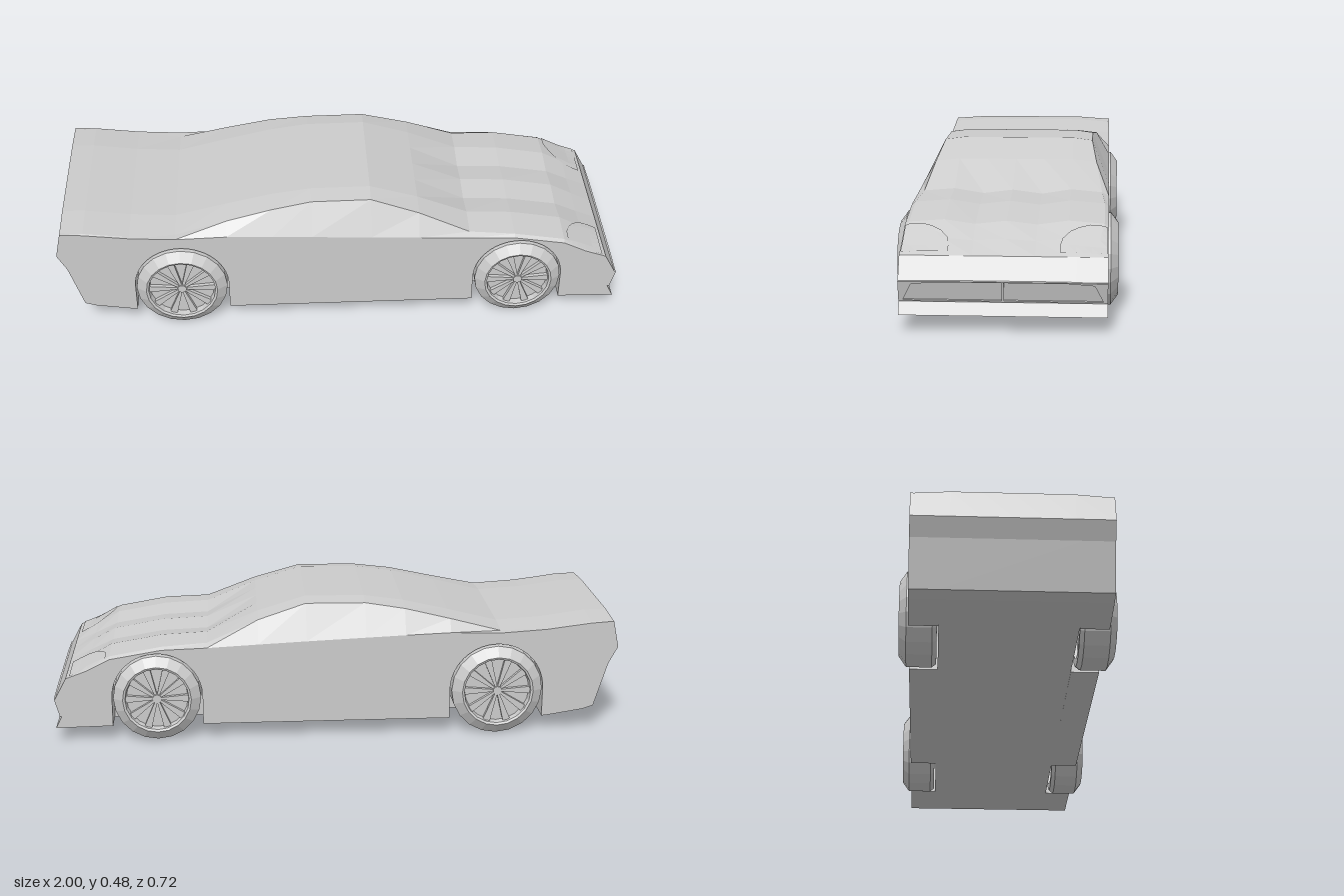
import * as THREE from 'three';

const mat = new THREE.MeshStandardMaterial({ color: 0xcccccc, flatShading: true, side: THREE.DoubleSide });
const HALF = 0.328, INNER = 0.23;

// Body stations, rear to nose: x, crown height, roof edge z, belt height, bonnet groove depth
const STATIONS = [
  [-0.98, 0.413, 0.315, 0.405, 0],
  [-0.9, 0.412, 0.322, 0.4, 0],
  [-0.74, 0.39, 0.32, 0.38, 0],
  [-0.58, 0.38, 0.3, 0.37, 0],
  [-0.4, 0.425, 0.29, 0.375, 0],
  [-0.24, 0.462, 0.28, 0.369, 0],
  [-0.1, 0.482, 0.267, 0.363, 0],
  [0.11, 0.484, 0.267, 0.354, 0],
  [0.28, 0.432, 0.284, 0.346, 0],
  [0.46, 0.358, 0.305, 0.337, 0.016],
  [0.62, 0.35, 0.315, 0.332, 0.015],
  [0.8, 0.319, 0.315, 0.302, 0.014],
  [0.88, 0.276, 0.315, 0.262, 0.008],
  [0.955, 0.236, 0.315, 0.235, 0],
];
const WHEELS = [
  { name: 'rear', x: -0.567, y: 0.162, r: 0.162, rim: 0.123 },
  { name: 'front', x: 0.638, y: 0.16, r: 0.154, rim: 0.116 },
];

// Half cross-section from the centreline out to the belt, as [z, y]
const section = ([, top, edge, belt, dip]) => [
  [0, top - dip * 0.2], [0.1, top - dip], [0.2, top],
  [edge, Math.max(belt, top - 0.009)], [HALF, belt],
];

// Height of the upper shell at any point
function surfaceY(x, z) {
  const i = Math.max(1, STATIONS.findIndex((s) => s[0] >= x));
  const a = STATIONS[i - 1], b = STATIONS[i];
  const t = (x - a[0]) / (b[0] - a[0]);
  const pts = section(a.map((v, k) => v + (b[k] - v) * t));
  const k = Math.max(1, pts.findIndex((p) => p[0] >= Math.abs(z)));
  const [p, q] = [pts[k - 1], pts[k]];
  return p[1] + (q[1] - p[1]) * (Math.abs(z) - p[0]) / (q[0] - p[0]);
}

// Surface through equal-length rows of [x, y, z]
function loft(rows) {
  const n = rows[0].length, index = [];
  for (let i = 0; i < rows.length - 1; i++) {
    for (let j = 0; j < n - 1; j++) {
      const a = i * n + j, b = a + n;
      index.push(a, a + 1, b, a + 1, b + 1, b);
    }
  }
  const g = new THREE.BufferGeometry();
  g.setAttribute('position', new THREE.Float32BufferAttribute(rows.flat(2), 3));
  g.setIndex(index);
  g.computeVertexNormals();
  return g;
}

function add(parent, name, geometry) {
  const m = new THREE.Mesh(geometry, mat);
  m.name = name;
  parent.add(m);
  return m;
}

// Side outline below the belt, with or without wheel arches
function sideShape(arches) {
  const s = new THREE.Shape();
  s.moveTo(-1, 0.31);
  [[-0.968, 0.25], [-0.92, 0.09], [-0.88, 0.077], [-0.76, 0.058]].forEach((p) => s.lineTo(...p));
  if (arches) {
    for (const w of WHEELS) {
      const r = w.r + 0.005;
      s.lineTo(w.x - r, 0.055);
      s.lineTo(w.x - r, w.y);
      s.absarc(w.x, w.y, r, Math.PI, 0, true);
      s.lineTo(w.x + r, 0.055);
    }
  }
  [[0.997, 0.052], [0.975, 0.095], [0.994, 0.163]].forEach((p) => s.lineTo(...p));
  [...STATIONS].reverse().forEach((p) => s.lineTo(p[0], p[3]));
  s.closePath();
  return s;
}

function extrude(shape, depth, z = 0) {
  const g = new THREE.ExtrudeGeometry(shape, { depth, bevelEnabled: false, curveSegments: 14 });
  return g.translate(0, 0, z);
}

// Wheel with its outer face towards +z, the axle at the origin
function makeWheel({ r, rim }, name) {
  const wheel = new THREE.Group();
  wheel.name = name;
  const profile = [
    [0.001, 0.25], [rim, 0.25], [rim, 0.235], [r - 0.012, 0.235], [r, 0.25], [r, 0.336],
    [rim + 0.004, 0.361], [rim - 0.004, 0.357], [rim - 0.008, 0.335], [0.001, 0.335],
  ].map((p) => new THREE.Vector2(...p));
  add(wheel, 'tyreAndRim', new THREE.LatheGeometry(profile, 20).rotateX(Math.PI / 2));
  // Tapered spokes
  for (let i = 0; i < 10; i++) {
    const s = new THREE.Shape();
    s.moveTo(0.012, -0.004);
    s.lineTo(rim - 0.006, -0.013);
    s.lineTo(rim - 0.006, 0.013);
    s.lineTo(0.012, 0.004);
    add(wheel, 'spoke', extrude(s, 0.014, 0.334)).rotation.z = (i * Math.PI) / 5;
  }
  add(wheel, 'hubCap', new THREE.CylinderGeometry(0.016, 0.02, 0.02, 10).rotateX(Math.PI / 2).translate(0, 0, 0.342));
  return wheel;
}

export function createModel() {
  const car = new THREE.Group();
  car.name = 'car';

  // Roof, bonnet and tail deck
  add(car, 'upperShell', loft(STATIONS.map((s) => {
    const half = section(s);
    const full = [...half.slice(1).reverse().map(([z, y]) => [-z, y]), ...half];
    return full.map(([z, y]) => [s[0], y, z]);
  })));

  // Tail panel closing the gap under the rear lip
  const tail = section(STATIONS[0]);
  const lip = [...tail.slice(1).reverse().map(([z, y]) => [-z, y]), ...tail];
  add(car, 'tailPanel', loft([
    lip.map(([z]) => [-1, 0.31, z]),
    lip.map(([z, y]) => [-0.98, y, z]),
  ]));

  // Lower body: solid core and side walls with arches
  add(car, 'bodyCore', extrude(sideShape(false), INNER * 2, -INNER));
  add(car, 'leftSide', extrude(sideShape(true), HALF - INNER, INNER));
  add(car, 'rightSide', extrude(sideShape(true), HALF - INNER, -HALF));

  // Grille frame with two openings, leaning with the nose
  const frame = new THREE.Shape([
    [-HALF, -0.036], [HALF, -0.036], [HALF, 0.033], [0.2, 0.036], [-0.2, 0.036], [-HALF, 0.033],
  ].map((p) => new THREE.Vector2(...p)));
  for (const s of [-1, 1]) {
    frame.holes.push(new THREE.Path([
      [0.004, -0.031], [0.314, -0.031], [0.287, 0.026], [0.2, 0.033], [0.004, 0.033],
    ].map(([x, y]) => new THREE.Vector2(s * x, y))));
  }
  const grille = add(car, 'grilleFrame', extrude(frame, 0.008).rotateX(0.27).rotateY(Math.PI / 2));
  grille.position.set(0.983, 0.13, 0);

  // Headlights following the bonnet corners
  const light = [[0.815, 0.27], [0.83, 0.235], [0.85, 0.207], [0.88, 0.183], [0.91, 0.176], [0.942, 0.176]];
  for (const s of [-1, 1]) {
    add(car, s > 0 ? 'leftHeadlight' : 'rightHeadlight', loft(light.map(([x, inner]) => {
      const row = [];
      for (let k = 0; k <= 6; k++) {
        const z = inner + (0.325 - inner) * (k / 6);
        row.push([x, surfaceY(x, z) + 0.004, s * z]);
      }
      return s > 0 ? row : row.reverse();
    })));
  }

  // Wheels
  for (const w of WHEELS) {
    const left = makeWheel(w, w.name + 'LeftWheel');
    const right = makeWheel(w, w.name + 'RightWheel');
    right.rotation.y = Math.PI;
    for (const wheel of [left, right]) {
      wheel.position.set(w.x, w.y, 0);
      car.add(wheel);
    }
  }
  return car;
}
